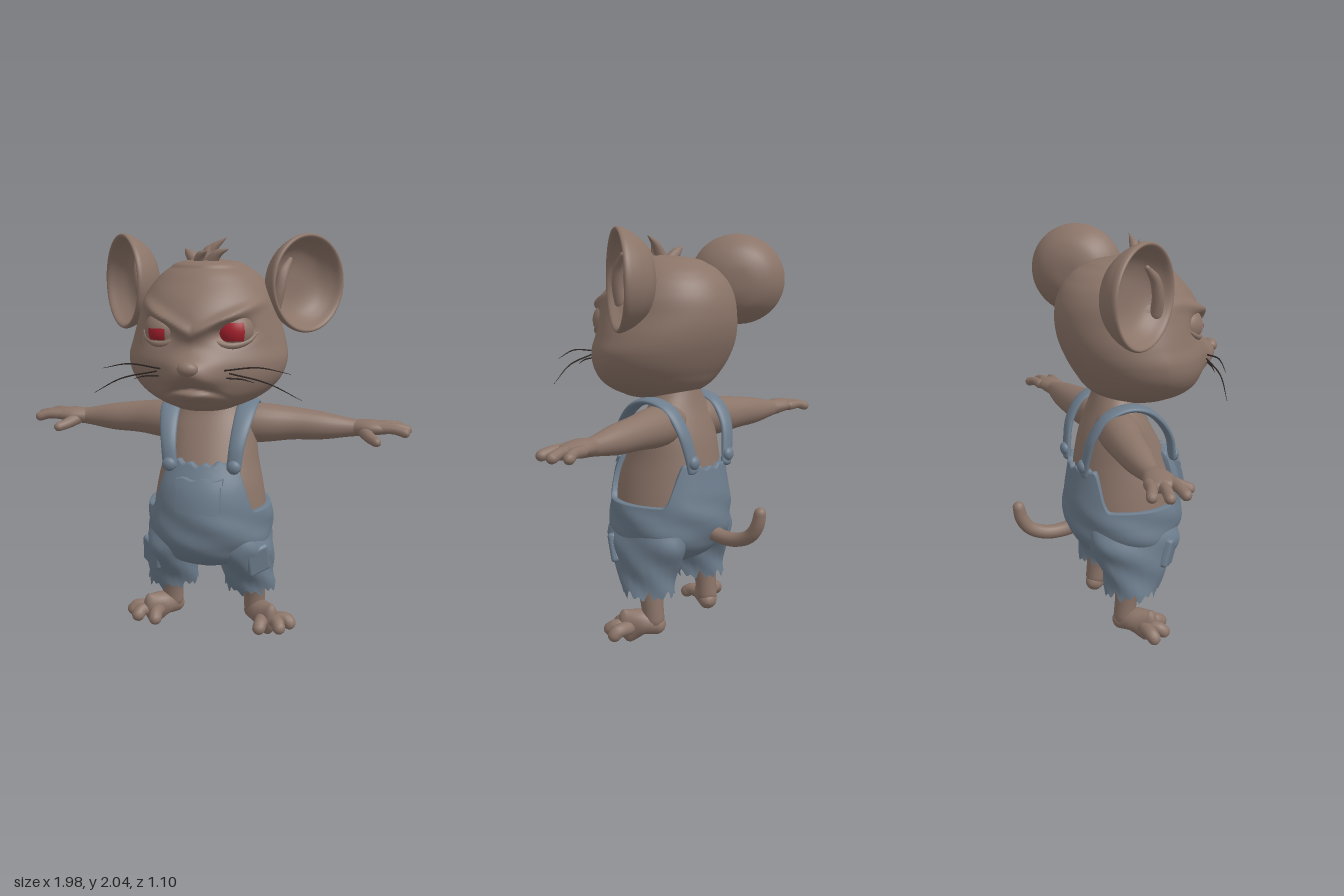
import * as THREE from 'three';
import { RoundedBoxGeometry } from 'three/addons/geometries/RoundedBoxGeometry.js';

const V = (x, y, z) => new THREE.Vector3(x, y, z);
const X = V(1, 0, 0), Y = V(0, 1, 0), Z = V(0, 0, 1);
const flat = (name, color, side = THREE.FrontSide) => {
  const m = new THREE.MeshStandardMaterial({ color, side });
  m.name = name;
  return m;
};

// Smooth interpolation through rows of [position, ...values]
function profile(rows) {
  const size = rows[0].length - 1;
  const it = new THREE.CubicInterpolant(rows.map(r => r[0]), rows.flatMap(r => r.slice(1)), size);
  return t => Array.from(it.evaluate(t));
}

// Closed-around surface: fn(angle, row) returns a point
function surface(nu, nv, fn) {
  const pos = [], index = [];
  for (let j = 0; j <= nv; j++) for (let i = 0; i < nu; i++) {
    pos.push(...fn(i / nu * Math.PI * 2, j).toArray());
    if (j === nv) continue;
    const a = j * nu + i, b = j * nu + (i + 1) % nu;
    index.push(a, b, b + nu, a, b + nu, a + nu);
  }
  const g = new THREE.BufferGeometry();
  g.setAttribute('position', new THREE.Float32BufferAttribute(pos, 3));
  g.setIndex(index);
  g.computeVertexNormals();
  return g;
}

// Horizontal cross-section point from [half width, back z, front z, front exponent]
function ringPoint([w, zb, zf, n = 2], a, y, grow = 0) {
  const s = Math.sin(a), c = Math.cos(a), e = c > 0 ? 2 / n : 1;
  const d = Math.max(0, (zf - zb) / 2 + grow);
  return V(Math.max(0, w + grow) * Math.sign(s) * Math.abs(s) ** e, y,
    (zf + zb) / 2 + d * Math.sign(c) * Math.abs(c) ** e);
}

// Round-ended sweep with varying [thickness, width along ref] radii
function sweep(pts, radii, ref = Z, seg = 16, nv = 36) {
  const curve = new THREE.CatmullRomCurve3(pts.map(p => V(...p)));
  const rad = profile(radii.map((r, i) => [i / (radii.length - 1), ...(Array.isArray(r) ? r : [r, r])]));
  return surface(seg, nv, (a, j) => {
    const t = THREE.MathUtils.clamp((j - 4) / (nv - 8), 0, 1);
    const e = j < 4 ? (j - 4) / 4 : Math.max(0, (j - nv + 4) / 4);
    const q = e * Math.PI / 2, [rn, rb] = rad(t), T = curve.getTangent(t);
    const N = ref.clone().cross(T).normalize(), B = T.clone().cross(N);
    return curve.getPoint(t).addScaledVector(T, Math.min(rn, rb) * Math.sin(q))
      .addScaledVector(N, rn * Math.cos(q) * Math.cos(a))
      .addScaledVector(B, rb * Math.cos(q) * Math.sin(a));
  });
}

const bump = (u, v) => Math.exp(-u * u - v * v);
const smooth = THREE.MathUtils.smoothstep;

export function createModel() {
  const root = new THREE.Group();
  const fur = flat('brown fur', 0x8b7468), denim = flat('blue denim', 0x6d7d8d, THREE.DoubleSide);
  const red = flat('red eye', 0xa3202c), dark = flat('dark whisker', 0x2e2724);
  const add = (name, geo, mat, p = [0, 0, 0]) => {
    const m = new THREE.Mesh(geo, mat);
    m.name = name;
    m.position.set(...p);
    root.add(m);
    return m;
  };
  const ball = (name, mat, p, s) => add(name, new THREE.SphereGeometry(1, 24, 16), mat, p).scale.set(...s);

  // Head: cross-sections, with muzzle, brow, sockets and mouth pushed in or out
  const headRow = profile([
    [1.175, 0, .12, .14, 2], [1.182, .1, .0, .25, 2], [1.2, .165, -.06, .32, 1.9], [1.245, .265, -.14, .395, 1.8],
    [1.32, .35, -.2, .44, 1.7], [1.42, .388, -.255, .455, 1.65], [1.5, .375, -.285, .43, 1.7],
    [1.6, .345, -.3, .43, 1.75], [1.7, .315, -.285, .38, 1.9], [1.78, .265, -.24, .31, 2],
    [1.84, .195, -.165, .25, 2], [1.875, .115, -.06, .19, 2], [1.888, 0, .07, .08, 2]]);
  add('head', surface(144, 120, (a, j) => {
    const y = 1.175 + .713 * (1 - Math.cos(Math.PI * j / 120)) / 2;
    const p = ringPoint(headRow(y), a, y), x = Math.abs(p.x);
    if (p.z > .08) p.z += smooth(p.z, .08, .2) * (
      .07 * bump(x / .1, (y - 1.405) / .06)
      + .025 * bump((x - .07) / .06, (y - 1.36) / .04)
      - .07 * bump((x - .165) / .075, (y - 1.568) / .045)
      + .048 * bump((x - .15) / .14, (y - 1.637 - .45 * (x - .165)) / .03)
      - .028 * bump(x / .11, (y - 1.318 + 2 * x * x) / .014)
      + .022 * bump(x / .09, (y - 1.28) / .025));
    return p;
  }), fur);
  ball('nose', fur, [0, 1.418, .51], [.048, .034, .036]);

  // Hair tuft
  [[-.02, .1, .09, 1.98, .1], [0, .12, .03, 1.955, .13], [-.05, .08, -.12, 1.93, .05],
    [.02, .14, .115, 1.93, .18], [-.03, .14, .02, 1.92, .21]].forEach(([x, z, tx, ty, tz]) =>
    add('hairTuft', sweep([[x, 1.855, z], [(x + tx) / 2 - .01, (1.88 + ty) / 2, (z + tz) / 2], [tx, ty, tz]],
      [.035, .023, .002], Z, 10, 16), fur));

  // Body and overalls share one profile
  const bodyRow = profile([
    [.35, .08, -.08, .12], [.4, .23, -.17, .23], [.5, .305, -.25, .315], [.6, .312, -.27, .335],
    [.7, .3, -.265, .33], [.8, .283, -.25, .31], [.9, .262, -.235, .265], [1, .247, -.215, .215],
    [1.08, .23, -.19, .17], [1.15, .195, -.165, .13], [1.22, .15, -.145, .11], [1.32, .12, -.12, .1]]);
  add('torso', surface(64, 40, (a, j) => {
    const y = .45 + .87 * j / 40;
    return ringPoint(bodyRow(y), a, y, -.02);
  }), fur);

  // Overalls with cut-out sides, bib front and back, and a turned-in top edge
  add('overalls', surface(160, 50, (a, j) => {
    const s = Math.abs(Math.sin(a)), front = Math.cos(a) > 0;
    const top = (front ? .925 : .87) + .008 * Math.sin(a * 23) + .03 * (s - .4);
    const edge = THREE.MathUtils.lerp(top, .68, smooth(s, .62, .84));
    const y = .35 + (edge - .35) * Math.min(j, 48) / 48;
    const fold = .006 * Math.sin(a * 5 + y * 30) * smooth(y, .4, .5) * (1 - smooth(y, .6, .75));
    return ringPoint(bodyRow(y), a, y, j > 48 ? .006 - .016 * (j - 48) : .006 + fold);
  }), denim);

  // Chest pocket bent over the bib
  const bendToBib = (w, h, t, x0, y0, lift) => {
    const g = new THREE.BoxGeometry(w, h, t, 14, 10, 1), p = g.attributes.position;
    for (let i = 0; i < p.count; i++) {
      const x = p.getX(i) + x0, y = p.getY(i) + y0 + .006 * Math.sin(x * 60);
      const [bw, zb, zf] = bodyRow(y);
      const z = (zb + zf) / 2 + ((zf - zb) / 2 + .006) * Math.sqrt(1 - (x / bw) ** 2);
      p.setXYZ(i, x, y, z + p.getZ(i) + lift);
    }
    g.computeVertexNormals();
    return g;
  };
  add('chestPocket', bendToBib(.215, .15, .03, 0, .77, .01), denim);
  add('chestPocketFlap', bendToBib(.23, .03, .04, 0, .84, .012), denim);

  // Tail
  add('tail', sweep([[0, .54, -.2], [0, .512, -.29], [0, .513, -.39], [0, .55, -.47], [0, .61, -.51], [0, .67, -.523]],
    [.045, .037, .035, .034, .033, .03], X), fur);

  const legRow = profile([[.2, .13, -.135, .135], [.3, .13, -.14, .18], [.38, .135, -.165, .225], [.48, .14, -.21, .275], [.58, .12, -.2, .25]]);
  for (const s of [1, -1]) {
    const m = (list) => list.map(([x, y, z]) => [x * s, y, z]);

    // Ear: thick cup opening outwards and forwards
    const cup = [[0, -.125], [.08, -.12], [.16, -.09], [.215, -.035], [.243, .015], [.25, .04], [.243, .053],
      [.228, .045], [.205, .005], [.16, -.04], [.09, -.065], [0, -.07]].map(p => new THREE.Vector2(...p));
    const earShape = new THREE.LatheGeometry(new THREE.SplineCurve(cup).getPoints(44), 56);
    earShape.rotateX(Math.PI / 2).scale(1, .94, 1);
    add('ear', earShape, fur, [.432 * s, 1.767, -.07]).rotation.set(0, .927 * s, -.15 * s);
    add('earFold', sweep(m([[.32, 1.66, .07], [.34, 1.74, .07], [.355, 1.82, .05], [.38, 1.88, .0]]),
      [.03, .028, .025, .012], Z, 12), fur);

    // Eye with a red patch, one wide and one narrowed
    const eye = [.165 * s, 1.568, .285];
    ball('eyeball', fur, eye, [.09, .09, .09]);
    const [p0, pw, t0, tw] = s > 0 ? [.9, 1.4, 1.08, .93] : [.95, .9, 1.45, .58];
    add('redEye', new THREE.SphereGeometry(.093, 20, 12, p0, pw, t0, tw), red, eye);
    add('lowerLid', sweep(m([[.085, 1.535, .378], [.13, 1.513, .375], [.18, 1.508, .358], [.235, 1.525, .315], [.27, 1.56, .26]]),
      [.008, .014, .015, .013, .006], Y, 10), fur);

    // Whiskers
    [[[.15, 1.405, .425], [.3, 1.42, .41], [.44, 1.39, .375]], [[.17, 1.39, .41], [.34, 1.35, .4], [.49, 1.27, .36]],
      [[.16, 1.37, .42], [.23, 1.365, .41], [.28, 1.35, .4]]].forEach(w =>
      add('whisker', sweep(m(w), [.004, .0035, .001], Y, 6, 20), dark));

    // Arm, palm, three fingers and thumb
    add('arm', sweep(m([[.1, 1.075, -.05], [.24, 1.07, -.065], [.4, 1.068, -.09], [.55, 1.06, -.1], [.7, 1.055, -.11], [.78, 1.055, -.11]]),
      [.1, .1, .083, .07, .045, .04], Z, 24), fur);
    add('palm', sweep(m([[.7, 1.055, -.11], [.78, 1.06, -.108], [.86, 1.06, -.115]]), [[.04, .043], [.04, .068], [.03, .066]]), fur);
    [[.85, -.165, .93, -.2], [.86, -.12, .965, -.135], [.85, -.075, .955, -.06]].forEach(([x, z, tx, tz]) =>
      add('finger', sweep(m([[x - .03, 1.06, z], [(x + tx) / 2, 1.062, (z + tz) / 2], [tx, 1.05, tz]]),
        [.027, .024, .025], Y, 12, 20), fur));
    add('thumb', sweep(m([[.755, 1.045, -.08], [.79, 1.025, -.02], [.82, 1.015, .02]]), [.034, .028, .024], Y, 12, 20), fur);

    // Leg, foot and toes
    add('leg', sweep(m([[.2, .42, 0], [.215, .28, -.012], [.222, .17, -.03], [.222, .08, -.04]]), [.085, .073, .058, .055]), fur);
    add('foot', sweep(m([[.215, .052, -.05], [.26, .065, .0], [.315, .05, .055]]), [[.05, .05], [.06, .065], [.042, .09]], Y), fur)
      .geometry.computeBoundingSphere();
    [[.42, .045], [.375, .115], [.275, .14]].forEach(([x, z]) =>
      add('toe', sweep(m([[.3 + (x - .33) * .4, .05, .02 + z * .2], [x * .85 + .045, .052, z * .8], [x, .036, z]]),
        [.036, .034, .034], Y, 14, 20), fur));

    // Trouser leg with ragged hem
    add('trouserLeg', surface(96, 24, (a, j) => {
      const hem = .225 + .012 * Math.sin(a * 9) + .014 * Math.sin(a * 17 + 1);
      const y = hem + (.58 - hem) * j / 24;
      const p = ringPoint(legRow(y), a, y, .005 * Math.sin(a * 4 + y * 35));
      p.x = s * .208 + p.x - s * (y - .22) * .1;
      return p;
    }), denim);
    const pocket = add('sidePocket', new RoundedBoxGeometry(.13, .15, .045, 4, .018), denim, [.268 * s, .425, .182]);
    pocket.rotation.set(.22, .72 * s, .12 * s);

    // Strap over the shoulder with end buttons
    add('strap', sweep(m([[.158, .9, .24], [.168, 1, .222], [.18, 1.09, .17], [.19, 1.165, .085], [.192, 1.188, -.01],
      [.187, 1.15, -.12], [.175, 1.05, -.19], [.152, .94, -.215], [.135, .86, -.222]]),
      [[.018, .036], [.018, .038], [.018, .044], [.018, .05], [.018, .05], [.018, .046], [.018, .042], [.018, .038], [.018, .036]], X, 20, 56), denim);
    ball('frontButton', denim, [.16 * s, .91, .25], [.034, .034, .024]);
    ball('backButton', denim, [.14 * s, .9, -.232], [.034, .034, .024]);
  }
  return root;
}
